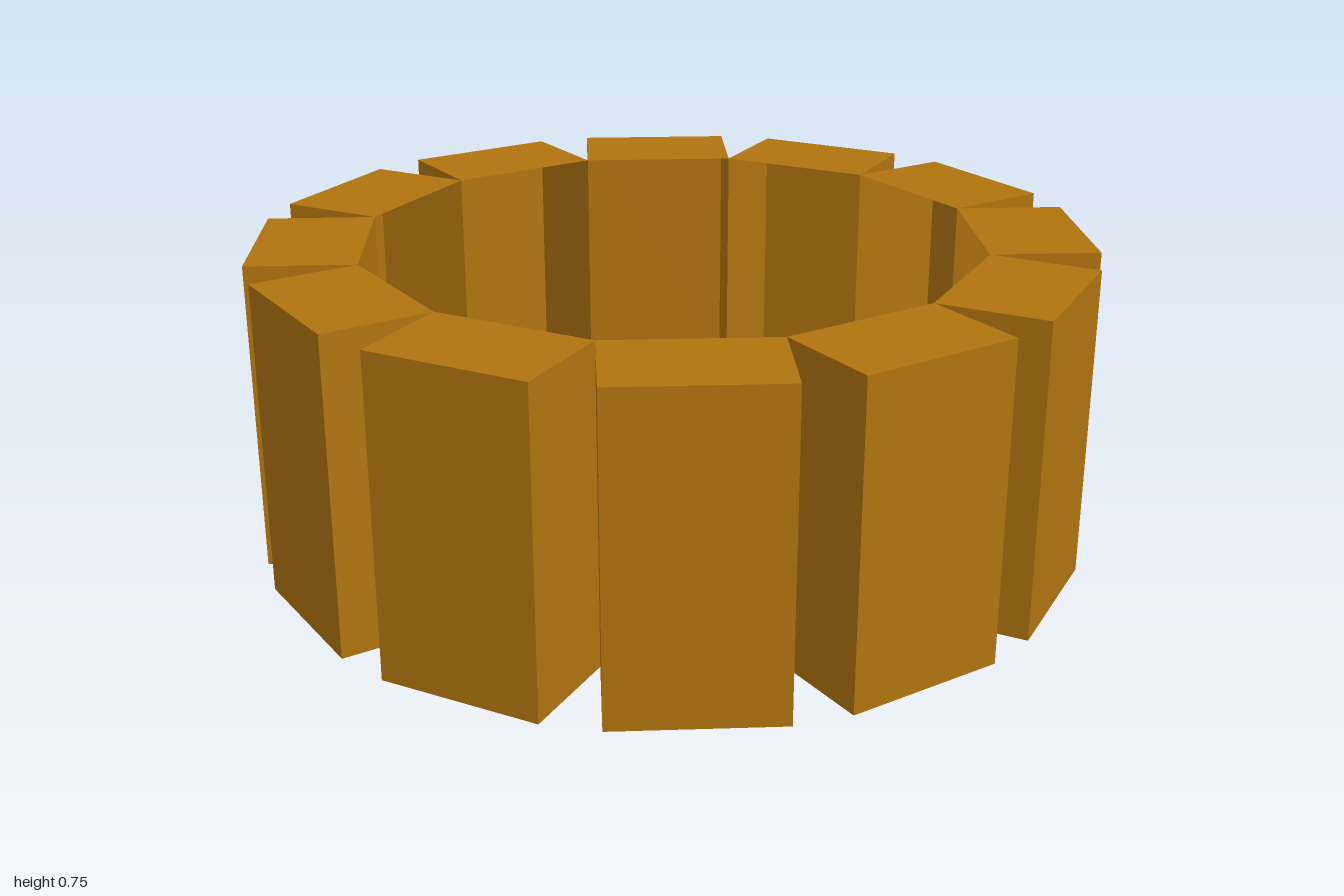
import * as THREE from 'three';

const COUNT = 12;
const HEIGHT = 0.75;
const DEPTH = 0.26;
const INNER_RADIUS = 0.749; // where neighbouring blocks touch

export function createModel() {
  const group = new THREE.Group();
  group.name = 'blockRing';

  const wood = new THREE.MeshStandardMaterial({ color: 0xb0740f, side: THREE.DoubleSide });
  wood.name = 'golden brown';

  // Hollow block: outer face, sides, top and bottom; open towards the ring's centre
  const halfAngle = Math.PI / COUNT;
  const width = 2 * INNER_RADIUS * Math.sin(halfAngle);
  const block = new THREE.BoxGeometry(width, HEIGHT, DEPTH);
  block.setIndex(Array.from(block.index.array).slice(0, 30)); // drop the -z face
  block.clearGroups();
  block.translate(0, HEIGHT / 2, INNER_RADIUS * Math.cos(halfAngle) + DEPTH / 2);

  // Ring of blocks meeting at their inner corners
  for (let i = 0; i < COUNT; i++) {
    const mesh = new THREE.Mesh(block, wood);
    mesh.name = `block${i + 1}`;
    mesh.rotation.y = halfAngle * (2 * i + 1);
    group.add(mesh);
  }
  return group;
}
